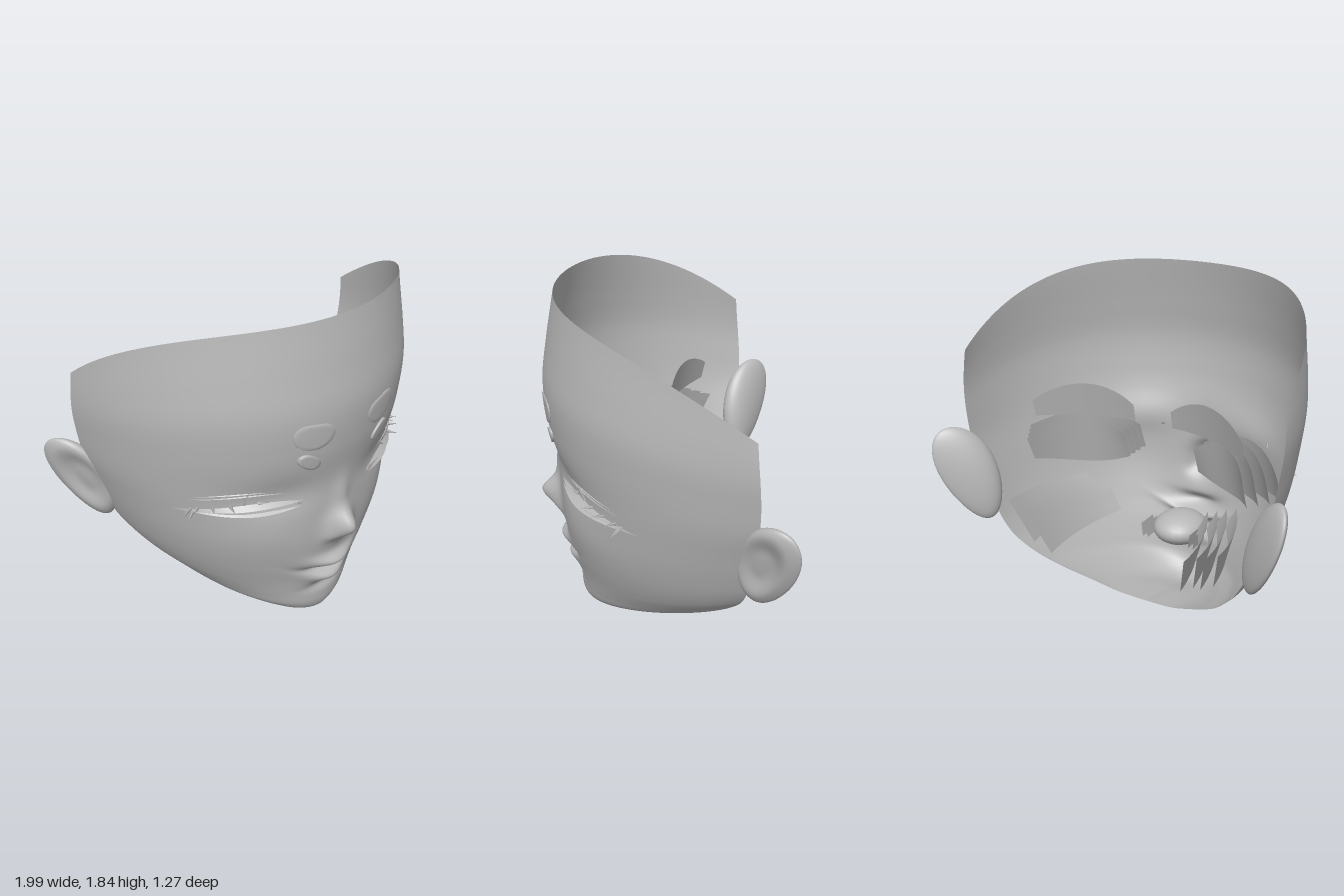
import * as THREE from 'three';

const V = (x, y, z) => new THREE.Vector3(x, y, z);
const { lerp, clamp, smoothstep } = THREE.MathUtils;

// Face sections from the top rim to under the chin: centre y, z; back edge x, y, z
const SECTIONS = [
  [1.84, .52, .89, 1.46, -.42], [1.6, .565, .9, 1.35, -.43], [1.4, .593, .9, 1.25, -.44],
  [1.2, .58, .885, 1.12, -.45], [1.0, .545, .86, .97, -.45], [.8, .53, .815, .82, -.44],
  [.6, .52, .76, .65, -.43], [.45, .495, .715, .54, -.42], [.3, .46, .66, .45, -.4],
  [.18, .445, .59, .37, -.36], [.1, .435, .52, .3, -.31], [.05, .41, .42, .23, -.25],
  [0, .33, .31, .16, -.18], [.04, .12, .17, .1, -.13], [.08, -.11, 0, .08, -.11],
];
const LAST = SECTIONS.length - 1;
const centreLine = new THREE.CatmullRomCurve3(SECTIONS.map(([y, z]) => V(0, y, z)));
const backEdge = new THREE.CatmullRomCurve3(SECTIONS.map(([, , x, y, z]) => V(x, y, z)));

const bump = (x, y, cx, cy, sx, sy) => Math.exp(-(((x - cx) / sx) ** 2) - ((y - cy) / sy) ** 2);

// Nose, lips, chin and eye sockets as soft bumps in z
function features(x, y) {
  const ax = Math.abs(x);
  const m = y - 1.1 * x * x; // the mouth curves up toward its corners
  return 0.085 * bump(x, y, 0, .68, .075, .085) + 0.04 * bump(x, y, 0, .73, .05, .07)
    + 0.02 * bump(x, y, 0, .86, .05, .1)
    + 0.012 * bump(ax, y, .07, .63, .035, .04)
    + 0.055 * bump(x, m, 0, .435, .125, .038) - 0.045 * bump(x, m, 0, .37, .16, .02)
    + 0.045 * bump(x, m, 0, .312, .11, .036) - 0.022 * bump(x, y, 0, .235, .12, .035)
    - 0.025 * bump(ax, y, .34, .94, .2, .1) + 0.01 * bump(ax, y, .4, .7, .2, .15);
}

// Point on the face: s runs down the sections (0..1), a is the angle from the middle
function facePoint(s, a) {
  const c = centreLine.getPoint(s), e = backEdge.getPoint(s);
  const rise = lerp(.7, 1.5, smoothstep(c.y, .1, .6)) + .35 * smoothstep(c.y, 1.4, 1.84);
  const full = 1.14 - .21 * smoothstep(c.y, .1, .75) + .07 * smoothstep(c.y, 1.4, 1.84);
  const cos = Math.max(0, Math.cos(a));
  const x = e.x * Math.sin(a);
  const y = lerp(c.y, e.y, Math.pow(1 - cos, rise));
  const z = lerp(e.z, c.z, Math.pow(cos, full));
  return V(x, y, z + features(x, y) * smoothstep(z, 0, .3));
}

// Depth of the front of the face at x, y
function faceZ(x, y) {
  let lo = 0, hi = 12 / LAST, p;
  for (let i = 0; i < 24; i++) {
    const s = (lo + hi) / 2;
    p = facePoint(s, Math.asin(clamp(x / backEdge.getPoint(s).x, -1, 1)));
    if (p.y > y) lo = s; else hi = s;
  }
  return p.z;
}

// Surface grid from a rule fn(u, v), both 0..1
function sheet(nu, nv, fn) {
  const pos = [], index = [];
  for (let j = 0; j <= nv; j++) for (let i = 0; i <= nu; i++) {
    pos.push(...fn(i / nu, j / nv).toArray());
    if (i < nu && j < nv) {
      const a = j * (nu + 1) + i, b = a + nu + 1;
      index.push(a, b, a + 1, b, b + 1, a + 1);
    }
  }
  const g = new THREE.BufferGeometry();
  g.setAttribute('position', new THREE.Float32BufferAttribute(pos, 3));
  g.setIndex(index);
  g.computeVertexNormals();
  return g;
}

function earGeometry() {
  const g = new THREE.SphereGeometry(1, 48, 32);
  const p = g.attributes.position;
  for (let i = 0; i < p.count; i++) {
    const a = p.getX(i), h = p.getY(i), t = p.getZ(i);
    const w = a * (.155 + .03 * h); // narrower lobe
    const r = Math.hypot(a + .15, h - .05);
    let n = t * (.06 - .025 * a); // thicker at the root
    if (t > 0) n -= .045 * (1 - smoothstep(r, .3, .85));
    // w runs out and back, n faces out and forward; the lobe leans in
    p.setXYZ(i, .855 + w * .6 + n * .8 + h * .085, .805 + h * .255, -.495 - w * .8 + n * .6 - h * .03);
  }
  g.computeVertexNormals();
  return g;
}

export function createModel() {
  const grey = new THREE.MeshStandardMaterial({ color: 0xb8b8b8, side: THREE.DoubleSide });
  grey.name = 'plain grey';
  const model = new THREE.Group();
  model.name = 'faceShell';
  const add = (parent, name, geometry) => {
    const m = new THREE.Mesh(geometry, grey);
    m.name = name;
    parent.add(m);
    return m;
  };

  // Open shell of the face
  add(model, 'face', sheet(140, 210, (u, v) => facePoint(v, (u - .5) * Math.PI)));

  // Mouth pocket behind the lips
  const pocket = add(model, 'mouthPocket', new THREE.SphereGeometry(1, 24, 16));
  pocket.scale.set(.15, .09, .165);
  pocket.position.set(0, .37, .28);

  const side = new THREE.Group();
  side.name = 'leftSide';
  add(side, 'ear', earGeometry());

  // Two raised brow marks on the forehead, each with a turned-down edge
  const browMark = (name, cx, cy, rx, ry, tilt, bend, lift) => add(side, name, sheet(28, 5, (u, v) => {
    const a = u * Math.PI * 2, r = Math.min(1, 1.25 * (1 - v));
    const px = Math.sign(Math.cos(a)) * Math.abs(Math.cos(a)) ** .8 * rx * r;
    const py = Math.sin(a) * ry * r + bend * (px / rx) ** 2;
    const x = cx + px * Math.cos(tilt) - py * Math.sin(tilt);
    const y = cy + px * Math.sin(tilt) + py * Math.cos(tilt);
    return V(x, y, faceZ(x, y) + (v === 0 ? 0 : lift));
  }));
  browMark('upperBrow', .215, 1.29, .105, .07, .15, .014, .007);
  browMark('lowerBrow', .23, 1.15, .065, .036, .62, 0, .012);

  // Thin bands around the closed eye: name, x from, x to, y, arch, droop, width, lift
  const bands = [
    ['upperLash', .22, .71, .905, .035, -.035, .024, .03],
    ['eyeSlit', .24, .68, .888, .025, -.02, .034, .004],
    ['lowerLash', .23, .7, .875, -.005, 0, .012, .02],
    ['lidCrease', .3, .68, .965, .025, -.02, .005, .006],
    ['lidFold', .38, .66, .988, .018, -.02, .004, .006],
  ];
  for (const [name, x0, x1, y0, arch, droop, width, lift] of bands) {
    add(side, name, sheet(24, 1, (u, v) => {
      const x = lerp(x0, x1, u), swell = Math.sin(Math.PI * u);
      const y = y0 + arch * swell + droop * u - v * width * (.25 + .75 * swell);
      return V(x, y, faceZ(x, y) + .005 + v * lift * swell);
    }));
  }

  // Lash spikes: root x, y, then tip offset
  const spikes = [
    [.48, .925, -.01, .09, .04], [.42, .925, -.03, .015, .05], [.53, .915, .025, .005, .07],
    [.59, .905, .04, .015, .06], [.64, .895, .05, .015, .05],
    [.66, .885, .06, -.005, .03], [.65, .875, .06, -.015, .04], [.24, .895, -.03, -.012, .02],
  ];
  for (const [x, y, dx, dy, dz] of spikes) {
    const dir = V(dx, dy, dz), len = dir.length();
    const spike = add(side, 'lashSpike', new THREE.ConeGeometry(.01, len, 4));
    spike.position.set(x, y, faceZ(x, y)).addScaledVector(dir, .5);
    spike.quaternion.setFromUnitVectors(V(0, 1, 0), dir.normalize());
  }

  // Layered curved plates inside, behind the eye
  for (let k = 0; k < 4; k++) {
    add(side, 'innerEyePlate', sheet(16, 5, (u, v) => {
      const x = lerp(.21, .74 - .035 * k, u), swell = Math.sin(Math.PI * lerp(.12, .9, u));
      const y = lerp(.86 - .08 * swell, .94 + .11 * swell, v);
      return V(x, y, .25 - k * .055 - .06 * u - .24 * u * u * u - .06 * v);
    }));
  }
  add(side, 'innerBrowPlate', sheet(14, 3, (u, v) => {
    const swell = Math.sin(Math.PI * lerp(.1, .9, u)) ** .6;
    return V(lerp(.11, .61, u), 1.09 + .19 * v * swell, -.02 - .2 * u * u - .04 * v * swell);
  }));

  // Nested plates inside the cheek, with stepped back ends
  for (let k = 0; k < 4; k++) {
    add(side, 'innerCheekPlate', sheet(10, 3, (u, v) => {
      const z = lerp(-.43 + .03 * (k % 2), .03, u) - .08 * v * (1 - u);
      const y = .42 + .02 * k + .1 * u * (1 - v) + .22 * v;
      return V(.39 + .055 * k - .15 * u * u + .06 * v, y, z);
    }));
  }

  // Small plates beside the mouth pocket
  for (const x of [.13, .16]) {
    add(side, 'mouthPlate', sheet(1, 1, (u, v) => V(x + .01 * v, .33 + .08 * v, lerp(.13, .26, u))));
  }

  const other = side.clone();
  other.name = 'rightSide';
  other.scale.x = -1;
  model.add(side, other);
  return model;
}
